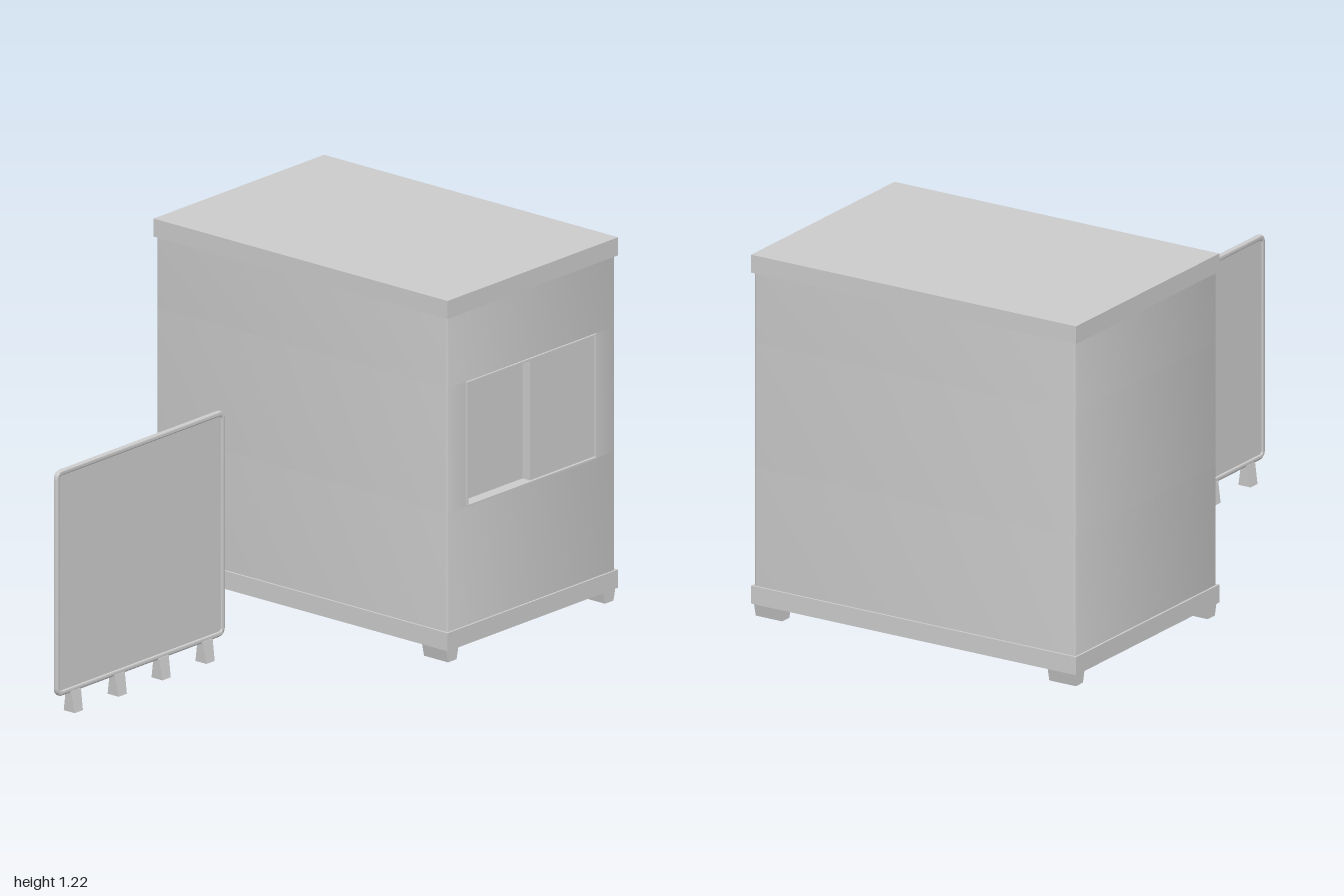
import * as THREE from 'three';
import { toCreasedNormals } from 'three/addons/utils/BufferGeometryUtils.js';

const material = new THREE.MeshStandardMaterial({ color: 0xcccccc });

function add(parent, name, geometry, x = 0, y = 0, z = 0) {
  const mesh = new THREE.Mesh(geometry, material);
  mesh.name = name;
  mesh.position.set(x, y, z);
  parent.add(mesh);
  return mesh;
}

// Rounded rectangle centred on the origin
function roundedRect(w, h, r, Type = THREE.Shape) {
  const s = new Type(), a = w / 2, b = h / 2;
  s.moveTo(-a + r, -b);
  s.lineTo(a - r, -b);
  s.absarc(a - r, -b + r, r, -Math.PI / 2, 0);
  s.lineTo(a, b - r);
  s.absarc(a - r, b - r, r, 0, Math.PI / 2);
  s.lineTo(-a + r, b);
  s.absarc(-a + r, b - r, r, Math.PI / 2, Math.PI);
  s.lineTo(-a, -b + r);
  s.absarc(-a + r, -b + r, r, Math.PI, Math.PI * 1.5);
  return s;
}

// Box whose bottom face is scaled relative to its top
function taperedBox(w, h, d, sx, sz) {
  const g = new THREE.BoxGeometry(w, h, d);
  const p = g.attributes.position;
  for (let i = 0; i < p.count; i++) {
    if (p.getY(i) < 0) p.setXYZ(i, p.getX(i) * sx, p.getY(i), p.getZ(i) * sz);
  }
  g.computeVertexNormals();
  return g;
}

// Horizontal slice of the booth walls, optionally notched at the front for the window
function wallSlice(y0, y1, notch) {
  const w = 0.403, d = 0.605, r = 0.008, s = new THREE.Shape();
  // shape y is -z, so the front edge is at -d
  s.moveTo(-w + r, -d);
  if (notch) {
    s.lineTo(notch[0], -d);
    s.lineTo(notch[0], -0.56);
    s.lineTo(notch[1], -0.56);
    s.lineTo(notch[1], -d);
  }
  s.lineTo(w - r, -d);
  s.absarc(w - r, -d + r, r, -Math.PI / 2, 0);
  s.lineTo(w, d - r);
  s.absarc(w - r, d - r, r, 0, Math.PI / 2);
  s.lineTo(-w + r, d);
  s.absarc(-w + r, d - r, r, Math.PI / 2, Math.PI);
  s.lineTo(-w, -d + r);
  s.absarc(-w + r, -d + r, r, Math.PI, Math.PI * 1.5);
  const g = new THREE.ExtrudeGeometry(s, { depth: y1 - y0, bevelEnabled: false, curveSegments: 4 });
  g.rotateX(-Math.PI / 2).translate(0, y0, 0);
  return toCreasedNormals(g, 0.6);
}

function createBooth() {
  const booth = new THREE.Group();
  booth.name = 'booth';
  booth.position.x = 0.59;

  add(booth, 'base', new THREE.BoxGeometry(0.82, 0.06, 1.224), 0, 0.08, 0);
  add(booth, 'roof', new THREE.BoxGeometry(0.82, 0.06, 1.224), 0, 1.185, 0);

  // Walls below, beside and above the window
  const [x0, x1, y0, y1] = [-0.315, 0.31, 0.505, 0.92];
  add(booth, 'lowerWalls', wallSlice(0.11, y0));
  add(booth, 'windowWalls', wallSlice(y0, y1, [x0, x1]));
  add(booth, 'upperWalls', wallSlice(y1, 1.155));

  // Sliding window: thin frame, deep pane and shallow pane
  const w = x1 - x0, h = y1 - y0, cx = (x0 + x1) / 2, cy = (y0 + y1) / 2, t = 0.006;
  const frame = roundedRect(w, h, 0.001);
  frame.holes.push(roundedRect(w - 2 * t, h - 2 * t, 0.001, THREE.Path));
  add(booth, 'windowFrame', new THREE.ExtrudeGeometry(frame,
    { depth: 0.052, bevelEnabled: false, curveSegments: 1 }), cx, cy, 0.56);
  add(booth, 'fixedPane', new THREE.BoxGeometry(w / 2, h - t, 0.01), cx - w / 4, cy, 0.566);
  add(booth, 'slidingPane', new THREE.BoxGeometry(w / 2 - t / 2, h - t, 0.04), cx + w / 4 - t / 4, cy, 0.582);

  // Corner feet
  for (const sx of [-1, 1]) for (const sz of [-1, 1]) {
    add(booth, 'boothFoot', taperedBox(0.06, 0.042, 0.1, 0.68, 1), sx * 0.377, 0.029, sz * 0.553);
  }
  return booth;
}

function createScreen() {
  const screen = new THREE.Group();
  screen.name = 'partitionScreen';
  screen.position.x = -0.595;
  const w = 0.81, h = 0.75, cy = 0.44;

  add(screen, 'screenPanel', new THREE.BoxGeometry(w - 0.02, h - 0.02, 0.008), 0, cy, 0);

  // Rounded frame around the panel
  const b = 0.005;
  const frame = roundedRect(w - 2 * b, h - 2 * b, 0.022);
  frame.holes.push(roundedRect(w - 0.036 + 2 * b, h - 0.036 + 2 * b, 0.012, THREE.Path));
  const g = new THREE.ExtrudeGeometry(frame, {
    depth: 0.006, bevelThickness: b, bevelSize: b, bevelSegments: 3, curveSegments: 6,
  });
  g.translate(0, 0, -0.003);
  add(screen, 'screenFrame', toCreasedNormals(g, 0.8), 0, cy, 0);

  // Row of flared feet
  for (let i = 0; i < 4; i++) {
    add(screen, 'screenFoot', taperedBox(0.048, 0.07, 0.022, 0.82, 2.1), -0.317 + i * 0.211, 0.035, 0);
  }
  return screen;
}

export function createModel() {
  const model = new THREE.Group();
  model.name = 'boothWithScreen';
  model.add(createBooth(), createScreen());
  return model;
}
